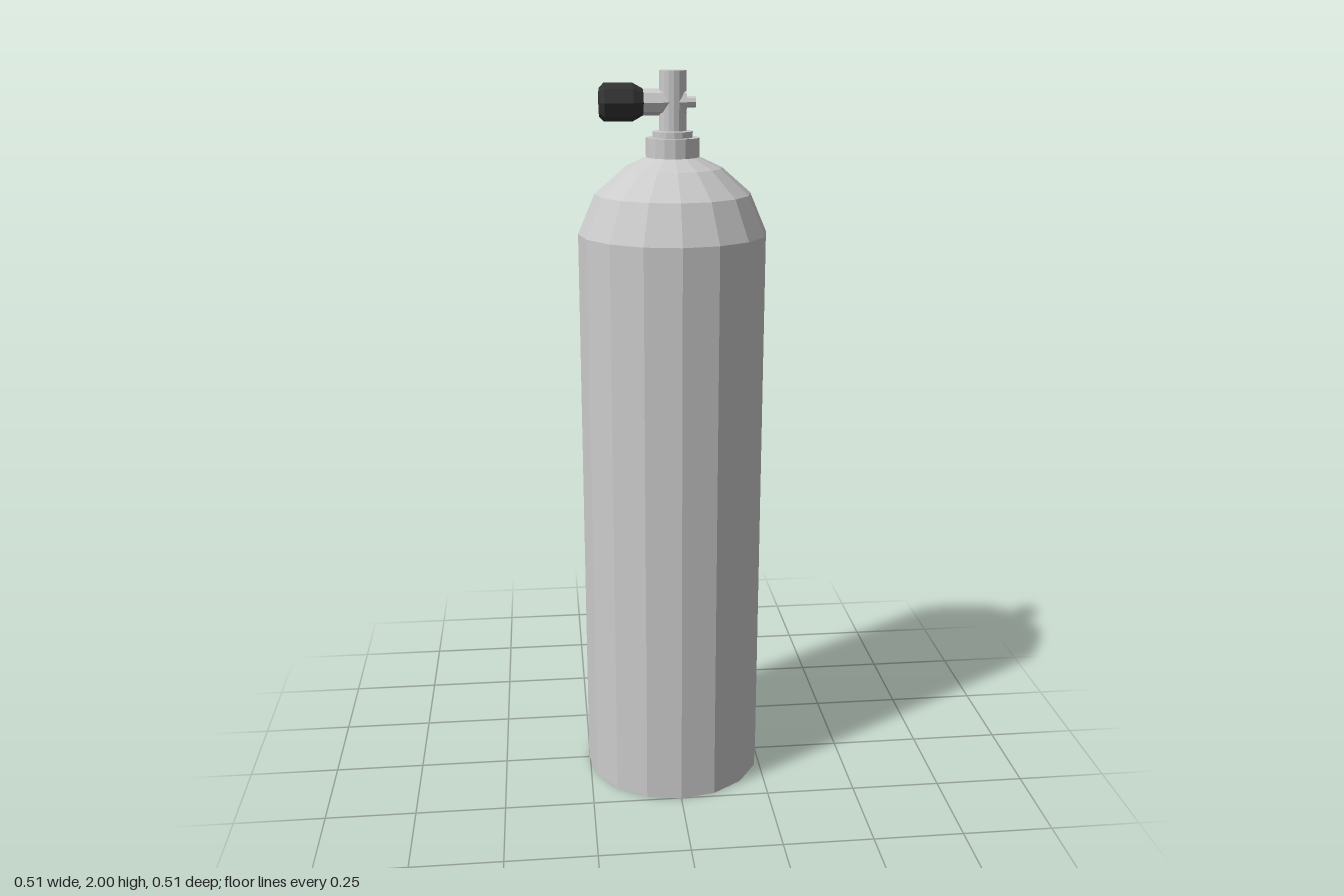
import * as THREE from 'three';

const grey = new THREE.MeshStandardMaterial({ color: 0xcccccc, flatShading: true });
const dark = new THREE.MeshStandardMaterial({ color: 0x333333, flatShading: true });

// Solid of revolution from [radius, height] pairs
function turned(name, profile, sides, material = grey) {
  const points = profile.map(([r, y]) => new THREE.Vector2(r, y));
  const mesh = new THREE.Mesh(new THREE.LatheGeometry(points, sides), material);
  mesh.name = name;
  return mesh;
}

export function createModel() {
  const model = new THREE.Group();
  model.name = 'gasCylinder';

  // Bottle with a flat base and a faceted domed shoulder
  model.add(turned('bottle', [
    [0, 0], [0.253, 0], [0.253, 1.58], [0.208, 1.685], [0.131, 1.752], [0.06, 1.785], [0, 1.785],
  ], 16));

  // Neck collar with a smaller stepped ring
  model.add(turned('neckCollar', [
    [0, 1.775], [0.071, 1.775], [0.071, 1.83], [0.053, 1.83], [0.053, 1.846], [0, 1.85],
  ], 16));

  // Upright valve stem
  model.add(turned('valveStem', [[0, 1.84], [0.036, 1.84], [0.036, 2], [0, 2]], 16));

  // Sideways valve parts, turned about the x axis
  const valve = new THREE.Group();
  valve.name = 'valve';
  valve.position.y = 1.92;
  valve.rotation.z = Math.PI / 2; // local +y points to -x
  valve.add(
    turned('valveArm', [[0, -0.034], [0.034, -0.034], [0.034, 0.085], [0, 0.085]], 8),
    turned('outletPin', [[0, -0.06], [0.015, -0.06], [0.015, 0], [0, 0]], 8),
    turned('handKnob', [
      [0, 0.078], [0.034, 0.078], [0.049, 0.105], [0.049, 0.18], [0.036, 0.192], [0, 0.192],
    ], 8, dark),
  );
  model.add(valve);
  return model;
}
